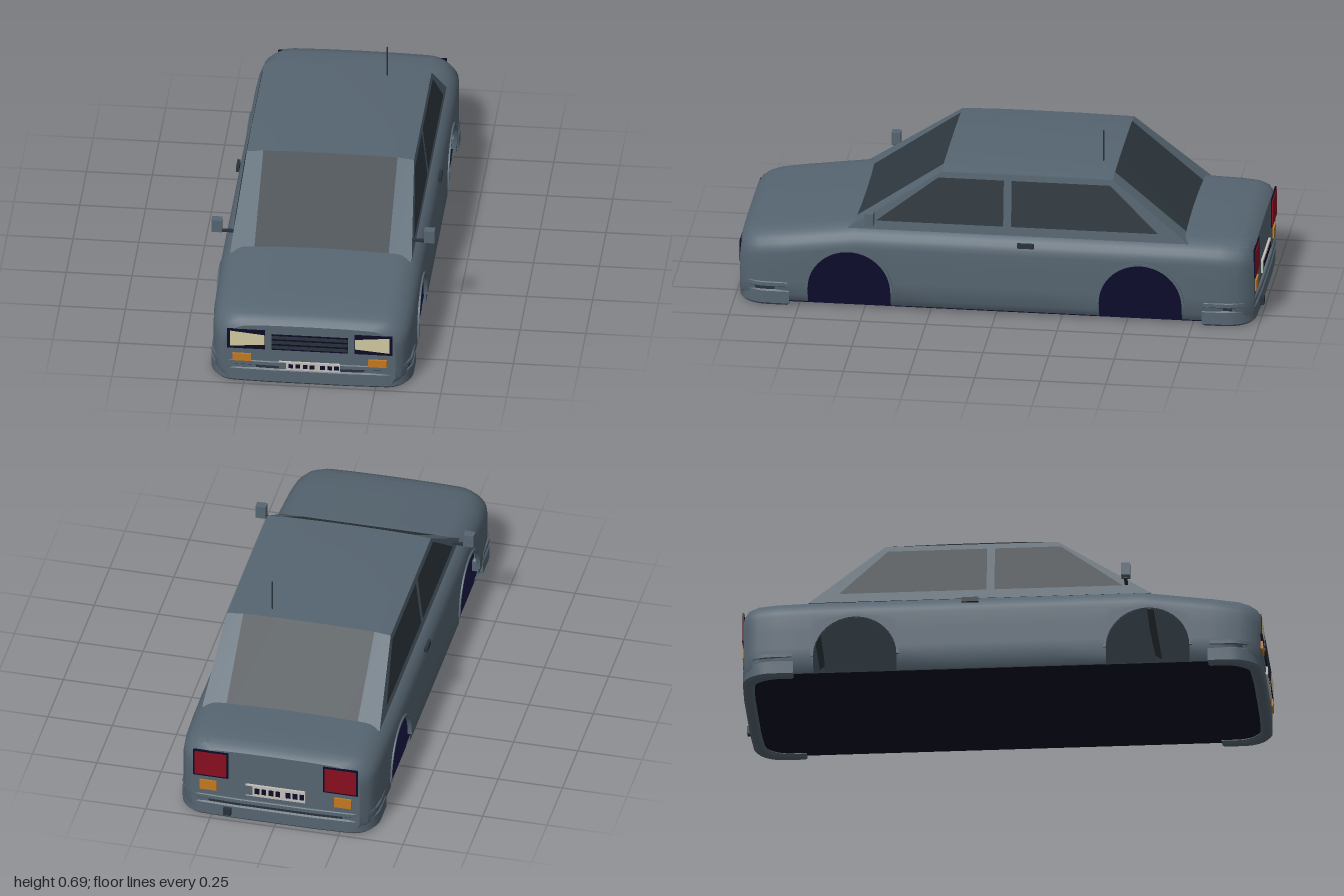
import * as THREE from 'three';
import { toCreasedNormals } from 'three/addons/utils/BufferGeometryUtils.js';

const mat = (name, color) => new THREE.MeshStandardMaterial({ name, color, side: THREE.DoubleSide });

export function createModel() {
  const car = new THREE.Group();
  car.name = 'car';
  const paint = mat('bodyPaint', 0x566571);
  const glass = mat('darkGlass', 0x2f393f);
  const navy = mat('navyBlack', 0x0a0a26);
  const trim = mat('darkTrim', 0x29313a);
  const cream = mat('lampCream', 0xd2c9a0);
  const amber = mat('amber', 0xc47a20);
  const red = mat('tailRed', 0x880e20);
  const white = mat('plateWhite', 0xc4c0ba);

  const add = (name, geo, material, parent = car) => {
    const m = new THREE.Mesh(geo, material);
    m.name = name;
    parent.add(m);
    return m;
  };
  const box = (name, material, w, h, d, x, y, z) =>
    add(name, new THREE.BoxGeometry(w, h, d), material).position.set(x, y, z);

  // Surface through rows of points
  const loft = (rows, crease = 0.6) => {
    const pos = [], idx = [], n = rows[0].length;
    rows.forEach(r => r.forEach(p => pos.push(...p)));
    for (let i = 0; i < rows.length - 1; i++)
      for (let j = 0; j < n - 1; j++) {
        const a = i * n + j, b = a + n;
        idx.push(a, a + 1, b, a + 1, b + 1, b);
      }
    const g = new THREE.BufferGeometry();
    g.setAttribute('position', new THREE.Float32BufferAttribute(pos, 3));
    g.setIndex(idx);
    return toCreasedNormals(g, crease);
  };

  // Lower body: stations of z, half width and top height
  const stations = [
    [0.98, 0.325, 0.245], [0.967, 0.345, 0.262], [0.94, 0.362, 0.275], [0.9, 0.374, 0.285],
    [0.8, 0.381, 0.298], [0.54, 0.383, 0.332], [-0.72, 0.383, 0.33], [-0.85, 0.38, 0.328],
    [-0.92, 0.372, 0.325], [-0.957, 0.353, 0.318], [-0.978, 0.325, 0.3]];
  const at = z => {
    let i = 0;
    while (i < stations.length - 2 && z < stations[i + 1][0]) i++;
    const [a, b] = [stations[i], stations[i + 1]], t = (a[0] - z) / (a[0] - b[0]);
    return [a[1] + (b[1] - a[1]) * t, a[2] + (b[2] - a[2]) * t];
  };
  const sill = 0.015;
  const section = (z, bottom) => {
    const [w, h] = at(z), s = h - 0.085, half = [];
    const low = Math.max(bottom, 0.045);
    half.push([w - Math.max(0, 0.045 - bottom) * 0.6, bottom]);
    for (let k = 0; k <= 3; k++) half.push([w, low + (s - low) * k / 3]);
    for (let k = 1; k <= 7; k++) {
      const a = k / 7 * Math.PI / 2;
      half.push([w - 0.1 + 0.1 * Math.cos(a), s + 0.085 * Math.sin(a)]);
    }
    half.push([0.14, h + 0.003]);
    const right = half.map(([x, y]) => [x, y, z]);
    const left = half.map(([x, y]) => [-x, y, z]).reverse();
    return [...right, [0, h + 0.004, z], ...left];
  };

  // Columns follow the wheel arches, so the openings are cut cleanly
  const archZ = [0.558, -0.552], archR = 0.158, archY = 0.075;
  const columns = stations.map(s => [s[0], sill])
    .filter(([z]) => archZ.every(c => Math.abs(z - c) > archR));
  columns.push([0.2, sill], [0, sill], [-0.2, sill]);
  const before = (a, b) => b[0] - a[0];
  columns.sort(before);
  for (const c of archZ) {
    const arch = [[c + archR, sill]];
    for (let i = 0; i <= 24; i++) {
      const a = Math.PI * i / 24;
      arch.push([c + archR * Math.cos(a), archY + archR * Math.sin(a)]);
    }
    arch.push([c - archR, sill]);
    const k = columns.findIndex(([z]) => z < c);
    columns.splice(k, 0, ...arch);
  }
  add('bodyShell', loft(columns.map(([z, b]) => section(z, b))), paint);

  // Nose and tail panels
  for (const z of [0.98, -0.978]) {
    const shape = new THREE.Shape(section(z, sill).map(([x, y]) => new THREE.Vector2(x, y)));
    const g = new THREE.ShapeGeometry(shape);
    if (z < 0) g.rotateY(Math.PI);
    g.translate(0, 0, z);
    add(z > 0 ? 'nosePanel' : 'tailPanel', g, paint);
  }

  // Rounded floor pan
  const floor = new THREE.Shape();
  const fx = 0.366, fz = 0.965, fr = 0.09;
  floor.absarc(fx - fr, fz - fr, fr, 0, Math.PI / 2);
  floor.absarc(-fx + fr, fz - fr, fr, Math.PI / 2, Math.PI);
  floor.absarc(-fx + fr, -fz + fr, fr, Math.PI, Math.PI * 1.5);
  floor.absarc(fx - fr, -fz + fr, fr, Math.PI * 1.5, Math.PI * 2);
  add('floorPan', new THREE.ShapeGeometry(floor).rotateX(Math.PI / 2).translate(0, 0.012, 0), navy);

  // Wheel arch lips
  for (const c of archZ) for (const side of [1, -1]) {
    const lip = new THREE.Shape();
    lip.absarc(0, 0, archR + 0.01, 0, Math.PI, false);
    lip.absarc(0, 0, archR, Math.PI, 0, true);
    const g = new THREE.ExtrudeGeometry(lip, { depth: 0.016, bevelEnabled: false, curveSegments: 24 });
    g.rotateY(Math.PI / 2).translate(side > 0 ? 0.373 : -0.389, archY, c);
    add('archLip', toCreasedNormals(g, 0.5), paint);
  }

  // Wrap-around bumpers: lower bar, dark groove, upper lip
  const bumper = (inset, y0, y1, bevel) => {
    const path = d => {
      const x = 0.384 - d, z = 0.988 - d, pts = [[x, 0.795]];
      for (let i = 0; i <= 8; i++) {
        const a = i / 8 * Math.PI / 2;
        pts.push([x - 0.09 + 0.09 * Math.cos(a), z - 0.11 + 0.105 * Math.sin(a)]);
      }
      pts.push([0.15, z]);
      return [...pts, ...pts.map(([px, pz]) => [-px, pz]).reverse()];
    };
    const pts = [...path(inset + bevel), ...path(0.034).reverse()];
    const g = new THREE.ExtrudeGeometry(new THREE.Shape(pts.map(p => new THREE.Vector2(...p))),
      { depth: y1 - y0 - 2 * bevel, bevelEnabled: bevel > 0, bevelSize: bevel, bevelThickness: bevel, bevelSegments: 1 });
    return toCreasedNormals(g.rotateX(Math.PI / 2).translate(0, y1 - bevel, 0), 0.5);
  };
  for (const turn of [0, Math.PI]) {
    const b = new THREE.Group();
    b.name = turn ? 'rearBumper' : 'frontBumper';
    add('bumperBar', bumper(0, 0, 0.066, 0.009), paint, b);
    add('bumperGroove', bumper(0.006, 0.062, 0.076, 0), trim, b);
    add('bumperLip', bumper(0.001, 0.074, 0.094, 0.003), paint, b);
    b.rotation.y = turn;
    car.add(b);
  }

  // Cabin: roof, windscreen, rear window, pillars and sides
  const roofX = [0.318, 0.255, 0.12, 0, -0.12, -0.255, -0.318];
  const roofY = [0.552, 0.559, 0.562, 0.563, 0.562, 0.559, 0.552];
  const roofRow = (z, lift) => roofX.map((x, i) => [x, roofY[i] + lift, z]);
  const baseRow = z => roofX.map((x, i) => [i % 6 ? x : Math.sign(x) * 0.345, 0.315, z]);
  add('roof', loft([roofRow(0.213, 0), roofRow(0.05, 0.004), roofRow(-0.2, 0.004), roofRow(-0.44, 0)]), paint);
  for (const [name, zTop, zBase] of [['windscreen', 0.213, 0.567], ['rearWindow', -0.44, -0.73]]) {
    const top = roofRow(zTop, 0), base = baseRow(zBase);
    const part = (i, j) => {
      const rows = [top.slice(i, j), base.slice(i, j)];
      return loft(zTop > 0 ? rows.reverse() : rows);
    };
    add(name, part(1, 6), glass);
    add('pillar', part(0, 2), paint);
    add('pillar', part(5, 7), paint);
  }
  const sidePanel = (name, pts, material, side, out) => {
    const g = new THREE.ShapeGeometry(new THREE.Shape(pts.map(p => new THREE.Vector2(...p))));
    const p = g.attributes.position;
    for (let i = 0; i < p.count; i++) {
      const z = p.getX(i), y = p.getY(i);
      p.setXYZ(i, side * (0.345 - (y - 0.315) * 0.114 + out), y, z);
    }
    g.computeVertexNormals();
    add(name, g, material);
  };
  for (const side of [1, -1]) {
    sidePanel('cabinSide', [[0.567, 0.315], [0.213, 0.552], [-0.44, 0.552], [-0.73, 0.315]], paint, side, 0);
    sidePanel('frontSideWindow', [[0.46, 0.35], [0.225, 0.53], [-0.025, 0.53], [-0.025, 0.35]], glass, side, 0.003);
    sidePanel('rearSideWindow', [[-0.055, 0.35], [-0.055, 0.53], [-0.43, 0.53], [-0.615, 0.35]], glass, side, 0.003);
    // Mirrors and door handles
    box('mirrorArm', trim, 0.075, 0.009, 0.012, side * 0.366, 0.356, 0.475);
    box('mirror', paint, 0.04, 0.05, 0.034, side * 0.404, 0.382, 0.477);
    box('doorHandle', trim, 0.012, 0.018, 0.064, side * 0.384, 0.291, -0.115);
  }

  // Front lamps and indicators
  for (const side of [1, -1]) {
    box('headlampFrame', navy, 0.144, 0.082, 0.006, side * 0.242, 0.186, 0.981);
    const lens = new THREE.Shape([[0.172, 0.166], [0.303, 0.155], [0.303, 0.221], [0.172, 0.208]]
      .map(([x, y]) => new THREE.Vector2(side * x, y)));
    add('headlamp', new THREE.ShapeGeometry(lens).translate(0, 0, 0.986), cream);
    box('frontIndicator', amber, 0.07, 0.03, 0.009, side * 0.258, 0.108, 0.984);
    // Tail lamps
    box('tailLampFrame', navy, 0.136, 0.116, 0.006, side * 0.252, 0.236, -0.979);
    box('tailLamp', red, 0.122, 0.102, 0.006, side * 0.252, 0.236, -0.982);
    box('rearIndicator', amber, 0.066, 0.042, 0.008, side * 0.262, 0.138, -0.98);
  }

  // Grille with slats
  box('grille', navy, 0.29, 0.066, 0.006, 0, 0.178, 0.981);
  for (let i = 0; i < 3; i++) box('grilleSlat', trim, 0.29, 0.012, 0.006, 0, 0.158 + i * 0.021, 0.984);

  // Blank number plates with plain blocks
  const marks = [-0.071, -0.044, -0.016, 0.01, 0.05, 0.077, 0.103];
  for (const [dir, y, z, h] of [[1, 0.083, 0.99, 0.034], [-1, 0.142, -0.982, 0.05]]) {
    box('numberPlate', white, 0.232, h, 0.008, 0, y, z);
    box('plateEnd', paint, 0.026, h * 0.8, 0.004, dir * -0.102, y, z + dir * 0.003);
    for (const x of marks) box('plateMark', navy, 0.018, h * 0.5, 0.004, dir * x, y, z + dir * 0.003);
  }

  // Exhaust tip and aerial
  box('exhaustTip', trim, 0.03, 0.03, 0.03, 0.185, 0.036, -0.985);
  add('aerial', new THREE.CylinderGeometry(0.003, 0.003, 0.13, 8), trim).position.set(0.155, 0.62, -0.385);
  return car;
}
